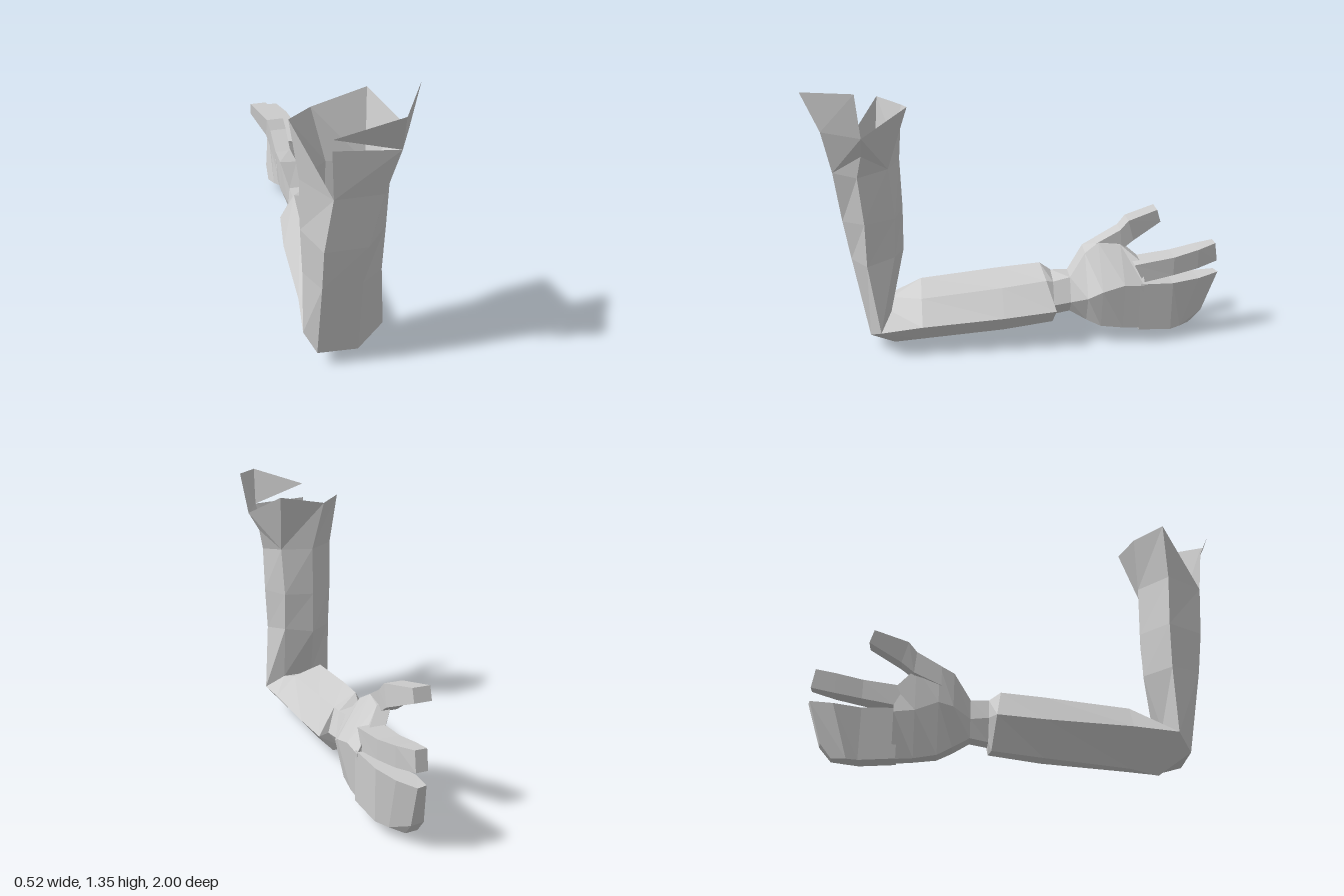
import * as THREE from 'three';

const grey = new THREE.MeshStandardMaterial({ color: 0xcccccc, flatShading: true, side: THREE.DoubleSide });
grey.name = 'plain grey';

// Mesh from polygons, each a counter-clockwise list of corner points, fanned into triangles
function facesMesh(name, polygons) {
  const pos = [];
  for (const p of polygons)
    for (let i = 1; i < p.length - 1; i++) pos.push(...p[0], ...p[i], ...p[i + 1]);
  const g = new THREE.BufferGeometry();
  g.setAttribute('position', new THREE.Float32BufferAttribute(pos, 3));
  g.computeVertexNormals();
  const mesh = new THREE.Mesh(g, grey);
  mesh.name = name;
  return mesh;
}

// Skin between successive cross-sections, with an optional cap on the far end
function loft(name, rings, cap = false) {
  const polys = [];
  for (let i = 0; i < rings.length - 1; i++) {
    const a = rings[i], b = rings[i + 1], n = a.length;
    for (let j = 0; j < n; j++) {
      const k = (j + 1) % n;
      polys.push([a[j], a[k], b[k], b[j]]);
    }
  }
  if (cap) polys.push(rings[rings.length - 1]);
  return facesMesh(name, polys);
}

// Cross-section at one depth from [x, y] pairs
const section = (z, pts) => pts.map(([x, y]) => [x, y, z]);
// Four-sided finger section: x range, y range, lean of the lower edge in z
const finger = (z, x0, x1, y0, y1, lean = 0) =>
  [[x0, y1, z], [x1, y1, z], [x1, y0, z + lean], [x0, y0, z + lean]];

export function createModel() {
  const arm = new THREE.Group();
  arm.name = 'arm';

  // Upper arm: hexagons ordered front-left, front-right, right, back-right, back-left, left
  const elbow = [[-0.16, 0.08, 0.76], [0.03, 0.065, 0.76], [0.165, 0.14, 0.70],
    [0.07, 0.21, 0.65], [-0.09, 0.21, 0.65], [-0.21, 0.16, 0.70]];
  const shoulder = [[-0.13, 0.94, 0.88], [0.08, 0.94, 0.885], [0.14, 0.93, 0.77],
    [0.08, 0.95, 0.63], [-0.08, 0.95, 0.58], [-0.225, 0.95, 0.70]];
  arm.add(loft('upperArm', [
    elbow,
    [[-0.16, 0.48, 0.83], [0.02, 0.48, 0.83], [0.13, 0.48, 0.75], [0.07, 0.5, 0.62], [-0.08, 0.48, 0.58], [-0.21, 0.48, 0.69]],
    [[-0.16, 0.68, 0.855], [0.03, 0.68, 0.86], [0.14, 0.7, 0.75], [0.07, 0.7, 0.61], [-0.08, 0.7, 0.575], [-0.22, 0.7, 0.69]],
    shoulder,
  ]));

  // Torn upper end: flaps rising from the last upper arm section
  const [A, B, C, D, E, F] = shoulder;
  const frontLeft = [-0.145, 1.17, 0.90], frontRight = [0.13, 1.15, 0.92];
  const sideLow = [0.165, 1.04, 0.745], sideTop = [0.225, 1.14, 0.735];
  const flapBack = [0.26, 1.35, 0.75], flapFront = [0.11, 1.33, 1.0], flapTip = [-0.155, 1.24, 0.94];
  const backRight = [0.11, 1.25, 0.53], backLeft = [-0.14, 1.20, 0.56], leftTip = [-0.262, 1.215, 0.68];
  arm.add(facesMesh('tornShoulder', [
    [A, B, frontRight, frontLeft],
    [B, C, sideLow], [B, sideLow, sideTop, frontRight],
    [frontRight, sideTop, flapBack, flapFront], [frontRight, flapFront, flapTip],
    [D, backRight, sideTop, sideLow, C],
    [D, E, backLeft, backRight],
    [E, F, leftTip, backLeft], [F, A, leftTip],
  ]));

  // Forearm: sections ordered top-left, top-right, right, bottom-right, bottom-left, left
  const lowRight = [0.07, 0.04, 0.64], lowLeft = [-0.05, 0, 0.63];
  const forearmStart = [elbow[4], elbow[3], elbow[2], lowRight, lowLeft, elbow[5]];
  const wrist = section(-0.24, [[-0.04, 0.345], [0.06, 0.345], [0.11, 0.23], [0.07, 0.165], [-0.02, 0.165], [-0.045, 0.25]]);
  arm.add(loft('forearm', [
    forearmStart,
    section(0.5, [[-0.09, 0.31], [0.06, 0.265], [0.165, 0.16], [0.08, 0.055], [-0.05, 0.03], [-0.18, 0.19]]),
    section(0.1, [[-0.07, 0.36], [0.065, 0.305], [0.165, 0.185], [0.085, 0.085], [-0.05, 0.07], [-0.155, 0.22]]),
    [[-0.05, 0.385, -0.1], [0.07, 0.335, -0.12], [0.165, 0.21, -0.16], [0.09, 0.12, -0.15], [-0.04, 0.1, -0.14], [-0.12, 0.25, -0.12]],
    section(-0.155, [[-0.045, 0.345], [0.06, 0.325], [0.115, 0.22], [0.07, 0.15], [-0.03, 0.145], [-0.07, 0.25]]),
    wrist,
  ]));
  arm.add(facesMesh('elbowPoint', [
    [elbow[0], lowLeft, lowRight, elbow[1]],
    [elbow[1], lowRight, elbow[2]],
    [elbow[0], elbow[5], lowLeft],
  ]));

  // Palm, rising towards the thumb
  arm.add(loft('palm', [
    wrist,
    section(-0.32, [[-0.07, 0.465], [0.02, 0.455], [0.145, 0.26], [0.1, 0.125], [0.0, 0.125], [-0.07, 0.3]]),
    section(-0.39, [[-0.08, 0.5], [0.0, 0.5], [0.162, 0.3], [0.13, 0.1], [0.04, 0.1], [-0.07, 0.32]]),
    section(-0.5, [[-0.06, 0.49], [0.015, 0.49], [0.158, 0.33], [0.14, 0.09], [0.07, 0.09], [-0.01, 0.3]]),
    section(-0.6, [[0.02, 0.42], [0.1, 0.42], [0.152, 0.32], [0.135, 0.08], [0.06, 0.08], [0.02, 0.3]]),
  ], true));

  // Thumb
  arm.add(loft('thumb', [
    finger(-0.38, -0.08, 0.0, 0.4, 0.495),
    finger(-0.5, -0.08, 0.005, 0.46, 0.565, -0.01),
    finger(-0.54, -0.09, 0.0, 0.505, 0.61, -0.03),
    finger(-0.70, -0.145, -0.06, 0.575, 0.64, -0.02),
  ], true));

  // Pointing finger
  arm.add(loft('indexFinger', [
    finger(-0.55, 0.01, 0.13, 0.33, 0.425, -0.05),
    finger(-0.75, 0.02, 0.125, 0.36, 0.455),
    finger(-0.88, 0.01, 0.1, 0.38, 0.48),
    finger(-0.975, 0.005, 0.06, 0.4, 0.495, -0.015),
  ], true));

  // Remaining fingers held together, curling inwards
  arm.add(loft('joinedFingers', [
    finger(-0.58, 0.05, 0.152, 0.08, 0.33),
    finger(-0.75, 0.03, 0.13, 0.062, 0.318),
    [[0.0, 0.325, -0.88], [0.1, 0.325, -0.89], [0.09, 0.057, -0.81], [0.0, 0.057, -0.8]],
    [[0.01, 0.335, -0.99], [0.055, 0.335, -1.0], [0.045, 0.12, -0.93], [-0.02, 0.12, -0.92]],
  ], true));
  arm.add(facesMesh('fingertipsUnderside', [
    [[0.0, 0.057, -0.8], [0.09, 0.057, -0.81], [0.04, 0.05, -0.87], [-0.02, 0.05, -0.865]],
    [[-0.02, 0.05, -0.865], [0.04, 0.05, -0.87], [0.045, 0.12, -0.93], [-0.02, 0.12, -0.92]],
    [[0.09, 0.057, -0.81], [0.045, 0.12, -0.93], [0.04, 0.05, -0.87]],
    [[0.0, 0.057, -0.8], [-0.02, 0.05, -0.865], [-0.02, 0.12, -0.92]],
  ]));

  return arm;
}
